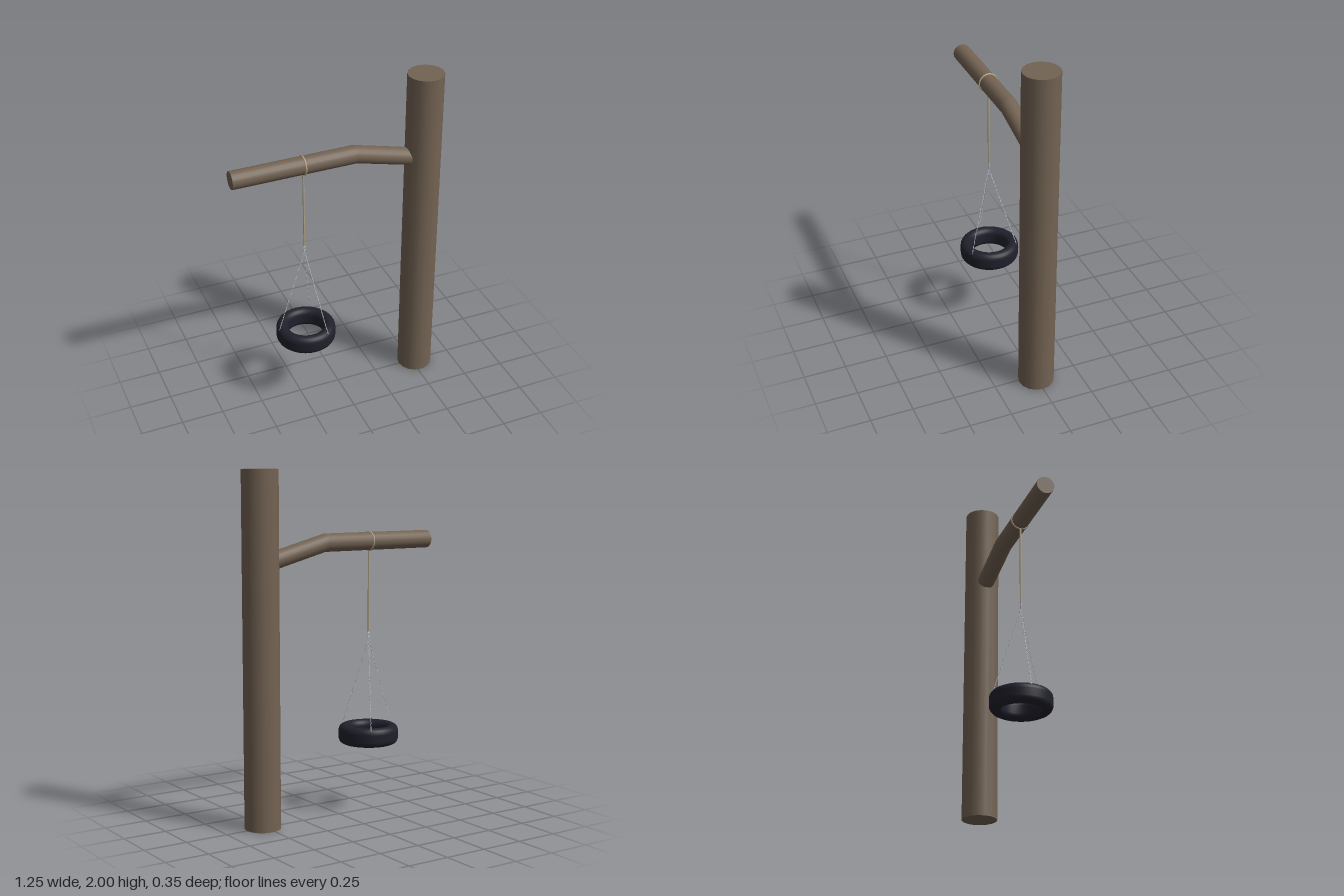
import * as THREE from 'three';
import { mergeGeometries } from 'three/addons/utils/BufferGeometryUtils.js';

const SWING_X = -0.207, BRANCH_Y = 1.587, KNOT_Y = 1.02;

export function createModel() {
  const bark = new THREE.MeshStandardMaterial({ name: 'bark', color: 0x736353 });
  const rubber = new THREE.MeshStandardMaterial({ name: 'rubber', color: 0x20202c });
  const rope = new THREE.MeshStandardMaterial({ name: 'rope', color: 0xb5a687 });
  const metal = new THREE.MeshStandardMaterial({ name: 'metal', color: 0xc2c8cc });

  const model = new THREE.Group();
  model.name = 'tireSwing';
  const add = (name, geometry, material, parent = model) => {
    const mesh = new THREE.Mesh(geometry, material);
    mesh.name = name;
    parent.add(mesh);
    return mesh;
  };

  // Trunk
  add('trunk', new THREE.CylinderGeometry(0.1035, 0.1035, 2, 16), bark).position.set(0.519, 1, 0);

  // Branch: level outer part, then a part sloping down into the trunk
  const branchPart = (x0, x1, slope) => {
    const g = new THREE.CylinderGeometry(0.052, 0.052, x1 - x0, 20);
    g.rotateZ(-Math.PI / 2).translate((x0 + x1) / 2, BRANCH_Y, 0);
    const p = g.attributes.position, n = g.attributes.normal;
    const v = new THREE.Vector3();
    for (let i = 0; i < p.count; i++) {
      p.setY(i, p.getY(i) + slope * (p.getX(i) - x0));
      v.fromBufferAttribute(n, i);
      v.x -= slope * v.y;
      v.normalize();
      n.setXYZ(i, v.x, v.y, v.z);
    }
    return g;
  };
  add('outerBranch', branchPart(-0.625, 0.1, 0), bark);
  add('innerBranch', branchPart(0.1, 0.5, -0.26), bark);

  // Swing hanging from the branch
  const swing = new THREE.Group();
  swing.name = 'swing';
  swing.position.x = SWING_X;
  model.add(swing);

  const loop = add('ropeLoop', new THREE.TorusGeometry(0.053, 0.005, 8, 32), rope, swing);
  loop.rotation.y = Math.PI / 2;
  loop.position.y = BRANCH_Y;
  const ropeTop = BRANCH_Y - 0.052, ropeEnd = 1.06;
  add('rope', new THREE.CylinderGeometry(0.0055, 0.0055, ropeTop - ropeEnd, 8), rope, swing)
    .position.y = (ropeTop + ropeEnd) / 2;

  // Connecting link between rope and chains
  const connector = add('connectorLink', new THREE.TorusGeometry(0.005, 0.003, 8, 16), metal, swing);
  connector.scale.y = 2.6;
  connector.position.y = 1.04;

  // Three chains of alternating links
  const top = new THREE.Vector3(0, KNOT_Y, 0);
  const up = new THREE.Vector3(0, 1, 0);
  for (let c = 0; c < 3; c++) {
    const a = Math.PI + c * Math.PI * 2 / 3;
    const end = new THREE.Vector3(Math.cos(a) * 0.166, 0.502, Math.sin(a) * 0.166);
    const dir = end.clone().sub(top);
    const count = 40, pitch = dir.length() / count;
    const links = [];
    for (let i = 0; i < count; i++) {
      const g = new THREE.TorusGeometry(0.0024, 0.0012, 5, 8);
      g.scale(1, 2.6, 1).rotateY(i % 2 ? Math.PI / 2 : 0);
      g.translate(0, (i + 0.5) * pitch, 0);
      links.push(g);
    }
    const chain = add('chain' + (c + 1), mergeGeometries(links), metal, swing);
    chain.quaternion.setFromUnitVectors(up, dir.normalize());
    chain.position.copy(top);
  }

  // Tire: a capsule-shaped section turned round the vertical axis
  const section = [];
  const r = 0.035, mid = 0.14, straight = 0.022, steps = 10;
  for (let half = 0; half < 2; half++) {
    for (let i = 0; i <= steps; i++) {
      const t = Math.PI * (half + i / steps);
      const y = Math.sin(t) * r + (half ? -straight : straight);
      section.push(new THREE.Vector2(mid + Math.cos(t) * r, y));
    }
  }
  section.push(section[0].clone());
  add('tire', new THREE.LatheGeometry(section, 48), rubber, swing).position.y = 0.457;

  return model;
}
